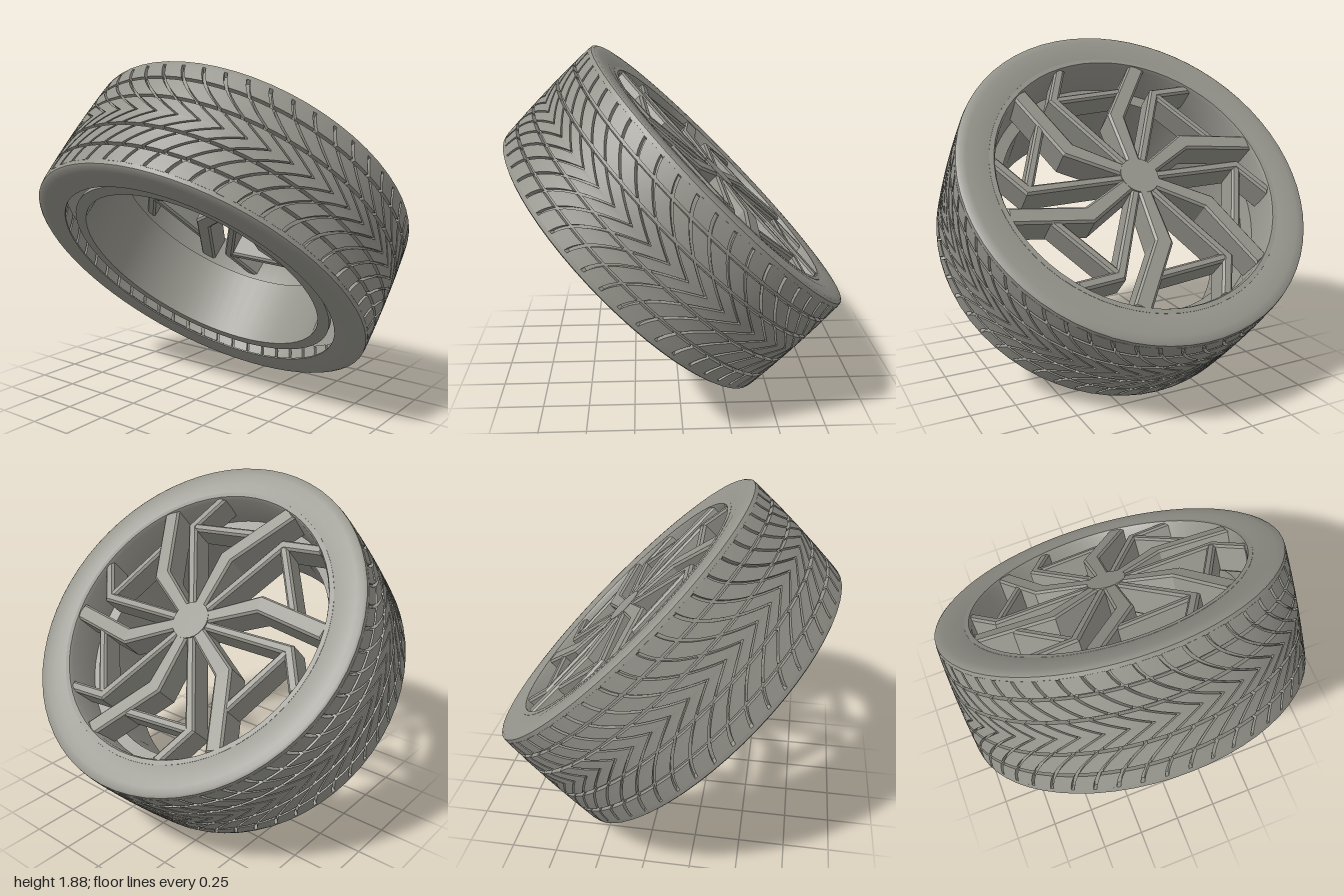
import * as THREE from 'three';
import { mergeGeometries, toCreasedNormals } from 'three/addons/utils/BufferGeometryUtils.js';

const darkGrey = new THREE.MeshStandardMaterial({ color: 0x94938b });

function addMesh(parent, name, geometry) {
  const mesh = new THREE.Mesh(geometry, darkGrey);
  mesh.name = name;
  parent.add(mesh);
  return mesh;
}

// Closed ring turned around the wheel axis (local y); profile runs counterclockwise
function ring(profile, sides) {
  const points = profile.map(([r, y]) => new THREE.Vector2(r, y));
  points.push(points[0].clone());
  return toCreasedNormals(new THREE.LatheGeometry(points, sides), 0.7);
}

const polar = (r, deg) =>
  new THREE.Vector2(r * Math.cos(deg * Math.PI / 180), r * Math.sin(deg * Math.PI / 180));

// Bevelled bar following a bent path in the wheel plane, one width per path point
function bar(path, widths, top, bottom) {
  const bevel = 0.012;
  const left = [], right = [];
  path.forEach((p, i) => {
    const a = path[Math.max(i - 1, 0)], b = path[Math.min(i + 1, path.length - 1)];
    const d1 = (i > 0 ? p.clone().sub(a) : b.clone().sub(p)).normalize();
    const d2 = (i < path.length - 1 ? b.clone().sub(p) : d1.clone()).normalize();
    const dir = d1.clone().add(d2).normalize();
    const half = (widths[i] / 2 - bevel) / dir.dot(d1);
    const n = new THREE.Vector2(-dir.y, dir.x).multiplyScalar(half);
    left.push(p.clone().add(n));
    right.unshift(p.clone().sub(n));
  });
  const geometry = new THREE.ExtrudeGeometry(new THREE.Shape([...left, ...right]), {
    depth: top - bottom - 2 * bevel, bevelEnabled: true,
    bevelSize: bevel, bevelThickness: bevel, bevelSegments: 1,
  });
  geometry.rotateX(Math.PI / 2);
  geometry.translate(0, top - bevel, 0);
  return geometry;
}

// Tread surface radius and sweep of the V pattern across the width
const crown = (h) => 1 - 0.009 * (h / 0.34) ** 2;
const sweep = (h) => 0.38 * (1 - (1 - Math.abs(h) / 0.36) ** 2);

// One curved tread block between axial positions h0 and h1
function treadBlock(a0, a1, h0, h1, inset, depth) {
  const geometry = new THREE.BoxGeometry(1, 1, 1, 2, 1, 4);
  const pos = geometry.attributes.position;
  for (let i = 0; i < pos.count; i++) {
    const h = THREE.MathUtils.lerp(h0, h1, pos.getZ(i) + 0.5);
    const a = THREE.MathUtils.lerp(a0, a1, pos.getX(i) + 0.5) + sweep(h);
    const r = crown(h) - inset - (0.5 - pos.getY(i)) * depth;
    pos.setXYZ(i, r * Math.cos(a), h, r * Math.sin(a));
  }
  geometry.computeVertexNormals();
  return geometry;
}

// A full circle of blocks
function treadRow(h0, h1, shift, inset, depth) {
  const count = 52, step = Math.PI * 2 / count, gap = 0.019;
  const blocks = [];
  for (let i = 0; i < count; i++) {
    const a = (i + shift) * step;
    blocks.push(treadBlock(a, a + step - gap, h0, h1, inset, depth));
  }
  return mergeGeometries(blocks);
}

export function createModel() {
  const model = new THREE.Group();
  model.name = 'wheel';
  const wheel = new THREE.Group();
  wheel.name = 'tiltedWheel';
  wheel.rotation.x = -Math.PI / 4;
  wheel.position.y = 0.942;
  model.add(wheel);

  // Hollow tyre with flat sidewalls and rounded shoulders, open towards the rim
  addMesh(wheel, 'tyreCarcass', ring([
    [0.82, -0.35], [0.88, -0.355], [0.94, -0.355], [0.975, -0.352], [0.989, -0.343], [0.992, -0.318],
    [0.968, -0.308], [0.971, -0.2], [0.974, 0], [0.971, 0.2], [0.968, 0.308],
    [0.992, 0.318], [0.989, 0.343], [0.975, 0.352], [0.94, 0.355], [0.88, 0.355], [0.82, 0.345],
    [0.84, 0.335], [0.92, 0.325], [0.94, 0.3], [0.94, -0.3], [0.92, -0.33], [0.82, -0.342],
  ], 64));

  // Mirrored rows: centre chevrons, middle ribs, shoulders
  const rows = [[0, 0.085, 'centreTread'], [0.103, 0.213, 'middleTread'], [0.231, 0.322, 'shoulderTread']];
  for (const side of [1, -1]) {
    rows.forEach(([h0, h1, name]) => {
      const [lo, hi] = side > 0 ? [h0, h1] : [-h1, -h0];
      addMesh(wheel, name, treadRow(lo, hi, 0, 0, 0.035));
    });
  }
  // Ribbing on the tyre's inner face
  addMesh(wheel, 'innerRibs', treadRow(-0.31, -0.2, 0, 0.055, 0.03));

  // Rim: barrel, step and wide outer lip
  addMesh(wheel, 'rim', ring([
    [0.71, -0.31], [0.775, -0.31], [0.775, -0.28], [0.735, -0.24], [0.735, 0.06], [0.8, 0.09],
    [0.81, 0.31], [0.825, 0.335], [0.82, 0.346], [0.795, 0.346], [0.785, 0.325],
    [0.775, 0.12], [0.71, 0.11],
  ], 64));

  // Hub
  const hub = addMesh(wheel, 'hub', new THREE.CylinderGeometry(0.11, 0.12, 0.18, 24));
  hub.position.y = 0.253;

  // Six bent wide spokes with forked narrow spokes between them
  const fork = polar(0.64, -121);
  const mainSpoke = bar([polar(0.03, -148), polar(0.41, -149), polar(0.79, -131)], [0.075, 0.095, 0.095], 0.341, 0.165);
  const narrowSpoke = bar([polar(0.04, -118), fork, polar(0.79, -107)], [0.05, 0.056, 0.056], 0.336, 0.17);
  const brace = bar([fork, polar(0.6, -79)], [0.05, 0.05], 0.333, 0.175);
  for (let i = 0; i < 6; i++) {
    const sector = new THREE.Group();
    sector.name = 'spokeSector';
    sector.rotation.y = i * Math.PI / 3;
    addMesh(sector, 'mainSpoke', mainSpoke);
    addMesh(sector, 'narrowSpoke', narrowSpoke);
    addMesh(sector, 'spokeBrace', brace);
    wheel.add(sector);
  }
  return model;
}
